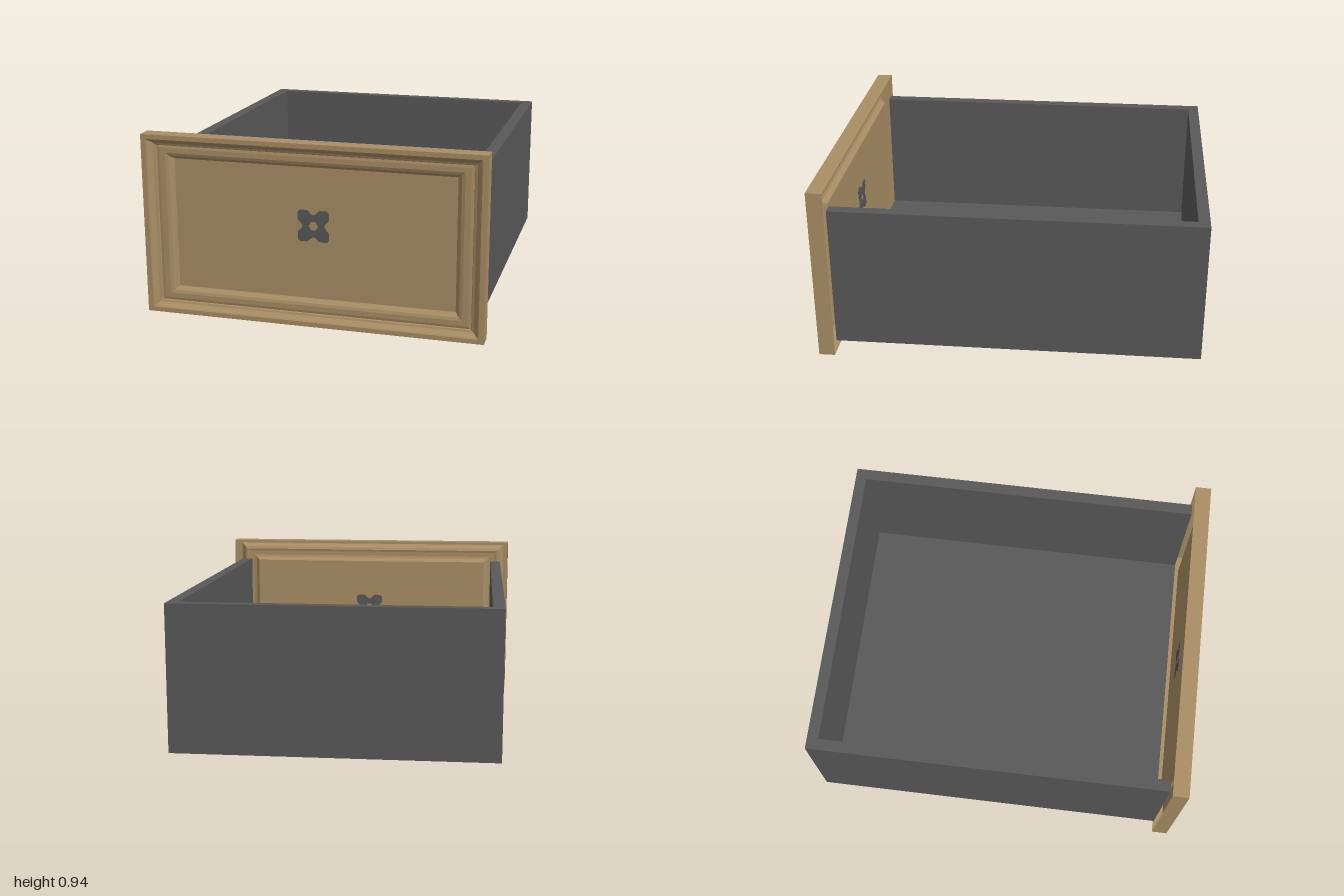
import * as THREE from 'three';

const wood = new THREE.MeshStandardMaterial({ color: 0xa98e65, side: THREE.DoubleSide });
wood.name = 'tan wood';
const grey = new THREE.MeshStandardMaterial({ color: 0x595959 });
grey.name = 'dark grey';

// Moulded front as a hollow-backed sheet: [inset from the edge, z]
const PROFILE = [
  [0, 0.915], [0, 1], [0.028, 1], [0.036, 0.995], [0.045, 0.984], [0.055, 0.974],
  [0.067, 0.97], [0.07, 0.963], [0.085, 0.966], [0.115, 0.966], [0.132, 0.961],
  [0.144, 0.95], [0.146, 0.94], [0.153, 0.935],
];
const CORNERS = [[-1, -1], [1, -1], [1, 1], [-1, 1]];

function frontGeometry() {
  const pos = [];
  const point = ([inset, z], i) => {
    const [sx, sy] = CORNERS[i % 4];
    return [sx * (0.88 - inset), 0.47 + sy * (0.47 - 0.85 * inset), z];
  };
  const quad = (a, b, c, d) => pos.push(...a, ...b, ...c, ...a, ...c, ...d);
  // mitred moulding, one strip per side and profile step
  for (let k = 0; k < PROFILE.length - 1; k++) {
    for (let i = 0; i < 4; i++) {
      quad(point(PROFILE[k], i), point(PROFILE[k], i + 1),
        point(PROFILE[k + 1], i + 1), point(PROFILE[k + 1], i));
    }
  }
  // recessed centre panel
  const last = PROFILE[PROFILE.length - 1];
  quad(point(last, 0), point(last, 1), point(last, 2), point(last, 3));
  const g = new THREE.BufferGeometry();
  g.setAttribute('position', new THREE.Float32BufferAttribute(pos, 3));
  g.computeVertexNormals();
  return g;
}

// Four-lobed plate with a hexagonal hole, one lobe turned four times
function plateGeometry() {
  const lobe = [[0.056, 0], [0.062, 0.014], [0.078, 0.028], [0.081, 0.038], [0.081, 0.07],
    [0.07, 0.081], [0.038, 0.081], [0.028, 0.078], [0.016, 0.066]];
  const pts = [];
  for (let q = 0; q < 4; q++) {
    for (const [x, y] of lobe) {
      pts.push(new THREE.Vector2(x, y).rotateAround(new THREE.Vector2(), q * Math.PI / 2));
    }
  }
  const shape = new THREE.Shape(pts);
  const hole = [];
  for (let i = 0; i < 6; i++) {
    const a = -i * Math.PI / 3;
    hole.push(new THREE.Vector2(0.025 * Math.cos(a), 0.025 * Math.sin(a)));
  }
  shape.holes.push(new THREE.Path(hole));
  return new THREE.ExtrudeGeometry(shape, { depth: 0.008, bevelEnabled: false });
}

export function createModel() {
  const model = new THREE.Group();
  model.name = 'drawer';

  const add = (name, geometry, material, x = 0, y = 0, z = 0) => {
    const mesh = new THREE.Mesh(geometry, material);
    mesh.name = name;
    mesh.position.set(x, y, z);
    model.add(mesh);
  };
  // box given by its limits
  const board = (name, x0, x1, y0, y1, z0, z1) =>
    add(name, new THREE.BoxGeometry(x1 - x0, y1 - y0, z1 - z0), grey,
      (x0 + x1) / 2, (y0 + y1) / 2, (z0 + z1) / 2);

  // open drawer box
  board('bottom', -0.77, 0.77, 0.06, 0.12, -0.94, 0.915);
  board('rightSide', -0.83, -0.77, 0.06, 0.82, -0.94, 0.915);
  board('leftSide', 0.77, 0.83, 0.06, 0.82, -0.94, 0.915);
  board('back', -0.83, 0.83, 0.06, 0.82, -1, -0.94);

  // moulded front and handle plate, which shows on both faces of the panel
  add('frontPanel', frontGeometry(), wood);
  add('handlePlate', plateGeometry(), grey, 0.004, 0.51, 0.931);
  return model;
}
